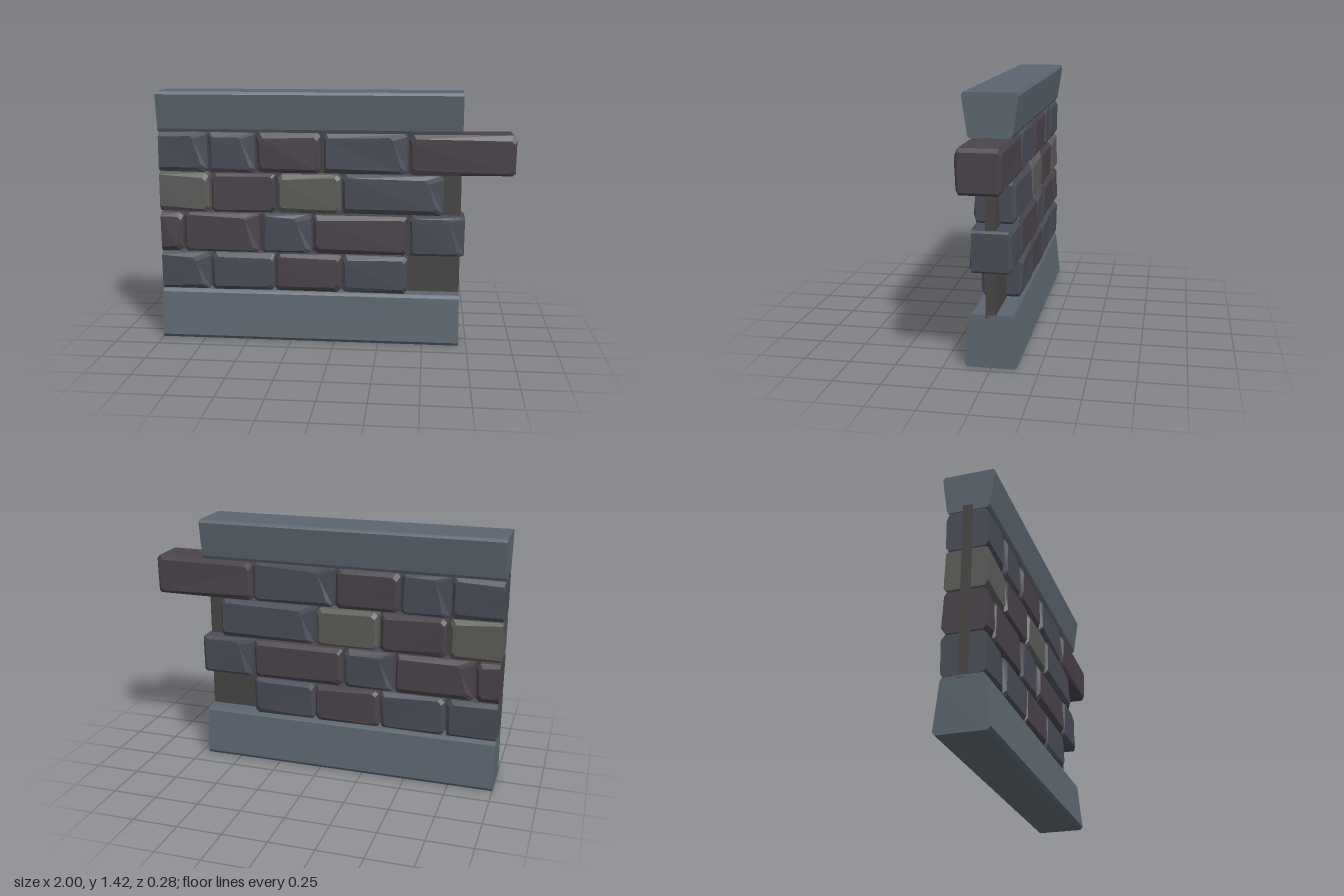
import * as THREE from 'three';

const LEFT = -1, RIGHT = 0.705;
const mat = (color) => new THREE.MeshStandardMaterial({ color, flatShading: true, roughness: 0.9 });

// Repeatable random numbers for the hand-cut look of the stones
let seed = 7;
const rand = (lo, hi) => {
  seed = (seed * 16807) % 2147483647;
  return lo + (hi - lo) * (seed / 2147483647);
};

// Long beam with a chamfered, tapering cross-section given as half profile [z, y]
function beam(half, material, name) {
  const outline = [...half, ...half.slice().reverse().map(([z, y]) => [-z, y])];
  const shape = new THREE.Shape(outline.map(([z, y]) => new THREE.Vector2(z, y)));
  const geo = new THREE.ExtrudeGeometry(shape, { depth: RIGHT - LEFT, bevelEnabled: false });
  geo.rotateY(Math.PI / 2).translate(LEFT, 0, 0);
  const mesh = new THREE.Mesh(geo, material);
  mesh.name = name;
  return mesh;
}

// Rough stone: four eight-sided rings from back to front, the outer two inset as bevels
function stoneGeometry(x0, x1, y0, y1, slanted) {
  const corners = [[1, -1], [1, 1], [-1, 1], [-1, -1]];
  const cx = (x0 + x1) / 2, cy = (y0 + y1) / 2, hx = (x1 - x0) / 2, hy = (y1 - y0) / 2;
  const cuts = corners.map(() => rand(0.008, 0.022));
  const shifts = corners.map(() => [rand(0, 0.008), rand(0, 0.006)]);
  const pos = [], index = [];
  for (const [z, isFace] of [[-0.113, true], [-0.095, false], [0.095, false], [0.113, true]]) {
    corners.forEach(([sx, sy], i) => {
      let dx = shifts[i][0], dy = shifts[i][1], dz = 0;
      if (isFace) {
        dx += rand(0.01, 0.022);
        dy += rand(0.012, 0.032);
        dz = rand(-0.005, 0.004) * Math.sign(z);
        // broad chip down one end, on opposite ends of the two faces
        if (slanted && sx === Math.sign(z)) dx += sy > 0 ? 0.065 : 0.02;
      }
      const px = cx + sx * (hx - dx), py = cy + sy * (hy - dy), c = cuts[i];
      const a = [px - sx * c, py], b = [px, py - sy * c];
      for (const [x, y] of sx * sy < 0 ? [a, b] : [b, a]) pos.push(Math.max(x, LEFT), y, z + dz);
    });
  }
  for (let r = 0; r < 3; r++) {
    for (let k = 0; k < 8; k++) {
      const a = r * 8 + k, b = r * 8 + (k + 1) % 8;
      index.push(a, b, b + 8, a, b + 8, a + 8);
    }
  }
  for (let k = 1; k < 7; k++) index.push(0, k + 1, k, 24, 24 + k, 25 + k);
  const geo = new THREE.BufferGeometry();
  geo.setAttribute('position', new THREE.Float32BufferAttribute(pos, 3));
  geo.setIndex(index);
  geo.computeVertexNormals();
  return geo;
}

export function createModel() {
  const wall = new THREE.Group();
  wall.name = 'stoneWall';
  const beamMat = mat(0x5c6670);
  const colors = { b: mat(0x4a4d58), p: mat(0x4a434b), g: mat(0x5c5c59) };

  // Base and coping beams
  wall.add(beam([[0.127, 0], [0.14, 0.018], [0.113, 0.268], [0.103, 0.287]], beamMat, 'baseBeam'));
  wall.add(beam([[0.105, 1.198], [0.114, 1.215], [0.142, 1.408], [0.132, 1.424]], beamMat, 'copingBeam'));

  // Thin mortar slab in the middle of the wall
  const core = new THREE.Mesh(new THREE.BoxGeometry(RIGHT - LEFT, 0.96, 0.054), mat(0x474644));
  core.name = 'mortarCore';
  core.position.set((LEFT + RIGHT) / 2, 0.75, 0);
  wall.add(core);

  // Courses: joints between stones, colour of each, and which carry a broad chip
  const courses = [
    { y: [0.285, 0.508], x: [-1.1, -0.715, -0.342, 0.043, 0.418], color: 'bbpb', chip: '1000' },
    { y: [0.508, 0.738], x: [-1.3, -0.868, -0.422, -0.13, 0.413, 0.735], color: 'ppbpb', chip: '01101' },
    { y: [0.742, 0.968], x: [-1.1, -0.71, -0.328, 0.04, 0.615], color: 'gpgb', chip: '0001' },
    { y: [0.968, 1.198], x: [-1.1, -0.72, -0.445, -0.07, 0.412, 1.0], color: 'bbpbp', chip: '11010' },
  ];
  courses.forEach(({ y, x, color, chip }, row) => {
    const course = new THREE.Group();
    course.name = `course${row + 1}`;
    for (let i = 0; i < color.length; i++) {
      const geo = stoneGeometry(x[i] + 0.002, x[i + 1] - 0.002, y[0], y[1], chip[i] === '1');
      const stone = new THREE.Mesh(geo, colors[color[i]]);
      stone.name = `stone${row + 1}_${i + 1}`;
      course.add(stone);
    }
    wall.add(course);
  });
  return wall;
}
